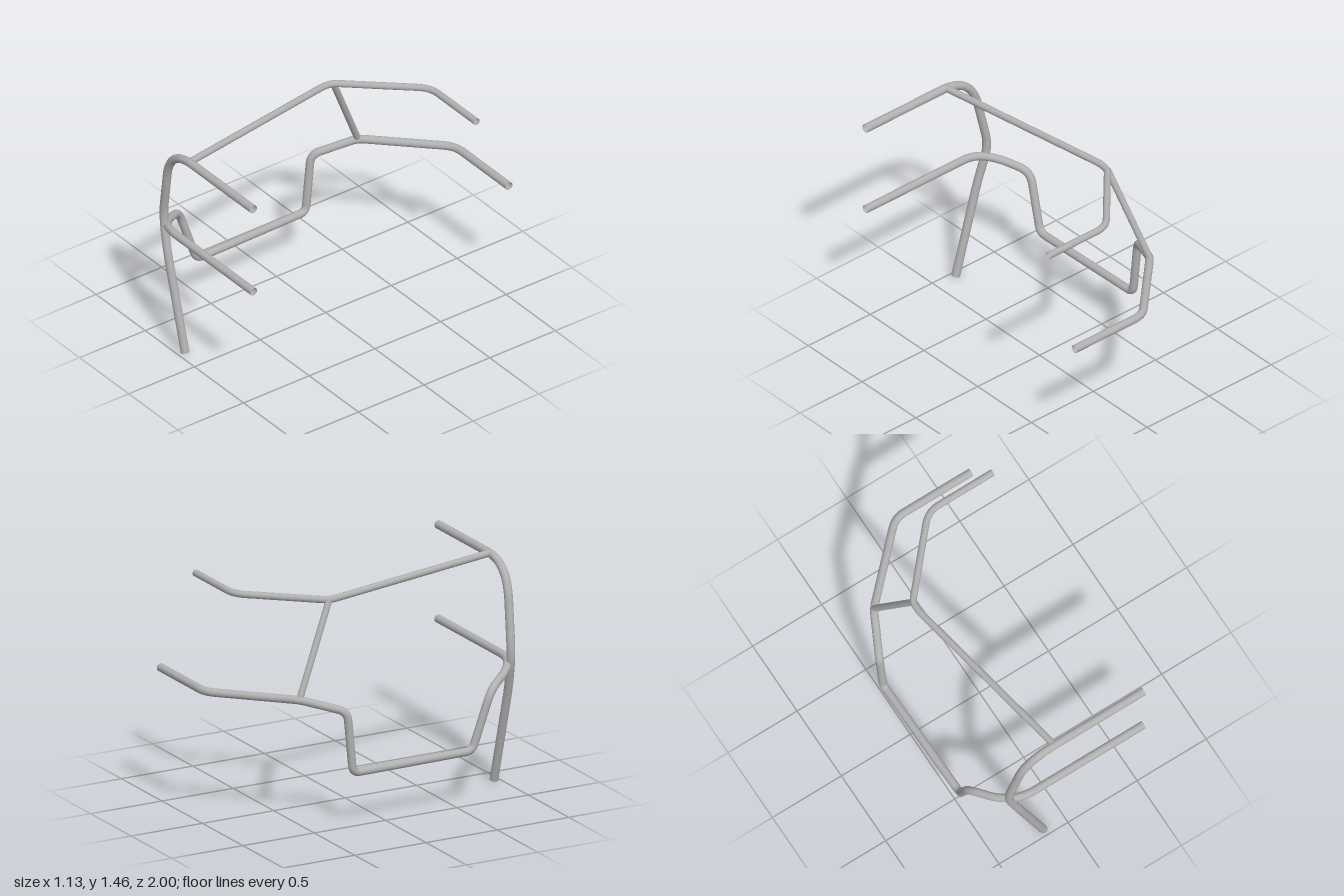
import * as THREE from 'three';

const steel = new THREE.MeshStandardMaterial({ color: 0xb0b0b0, side: THREE.DoubleSide });
steel.name = 'steel grey';

// Path of straight runs joined by rounded bends; each point is [x, y, z, bend length].
function bentPath(points) {
  const path = new THREE.CurvePath();
  const v = points.map(p => new THREE.Vector3(p[0], p[1], p[2]));
  let from = v[0];
  for (let i = 1; i < v.length - 1; i++) {
    const trim = (end) => {
      const d = v[i].distanceTo(end);
      return v[i].clone().lerp(end, Math.min(points[i][3], d * 0.49) / d);
    };
    const a = trim(v[i - 1]), b = trim(v[i + 1]);
    path.add(new THREE.LineCurve3(from, a));
    path.add(new THREE.QuadraticBezierCurve3(a, v[i], b));
    from = b;
  }
  path.add(new THREE.LineCurve3(from, v[v.length - 1]));
  return path;
}

// Open-ended pipe along a bent path.
function pipe(name, radius, points, segments) {
  const geometry = new THREE.TubeGeometry(bentPath(points), segments, radius, 16, false);
  const mesh = new THREE.Mesh(geometry, steel);
  mesh.name = name;
  return mesh;
}

export function createModel() {
  const group = new THREE.Group();
  group.name = 'tubeFrame';

  // Slanted front leg bending up and over into the top cross bar
  group.add(pipe('frontHoop', 0.027, [
    [-0.152, 0.007, 0.957],
    [-0.333, 0.65, 0.957, 0.08],
    [-0.4, 0.88, 0.938, 0.1],
    [-0.285, 1.436, 0.973, 0.235],
    [0.564, 1.436, 0.973],
  ], 140));

  // Waist rail: front bar, dip under the door opening, rear bar
  group.add(pipe('waistRail', 0.026, [
    [0.564, 0.833, 0.971],
    [-0.31, 0.833, 0.97, 0.1],
    [-0.43, 0.797, 0.885, 0.08],
    [-0.545, 0.735, 0.715, 0.08],
    [-0.52, 0.355, 0.595, 0.05],
    [-0.537, 0.355, -0.25, 0.05],
    [-0.54, 0.755, -0.29, 0.06],
    [-0.412, 0.835, -0.55, 0.04],
    [0.015, 0.836, -0.975, 0.07],
    [0.564, 0.836, -0.974],
  ], 320));

  // Roof rail running back from the hoop and across the rear
  group.add(pipe('roofRail', 0.022, [
    [-0.085, 1.44, 0.96],
    [-0.303, 1.41, -0.215, 0.03],
    [-0.3, 1.403, -0.285, 0.03],
    [0.095, 1.402, -0.728, 0.08],
    [0.564, 1.402, -0.728],
  ], 220));

  // Rear pillar joining the roof rail to the waist rail
  group.add(pipe('rearPillar', 0.021, [
    [-0.41, 0.835, -0.552],
    [-0.302, 1.4, -0.285],
  ], 1));

  return group;
}
